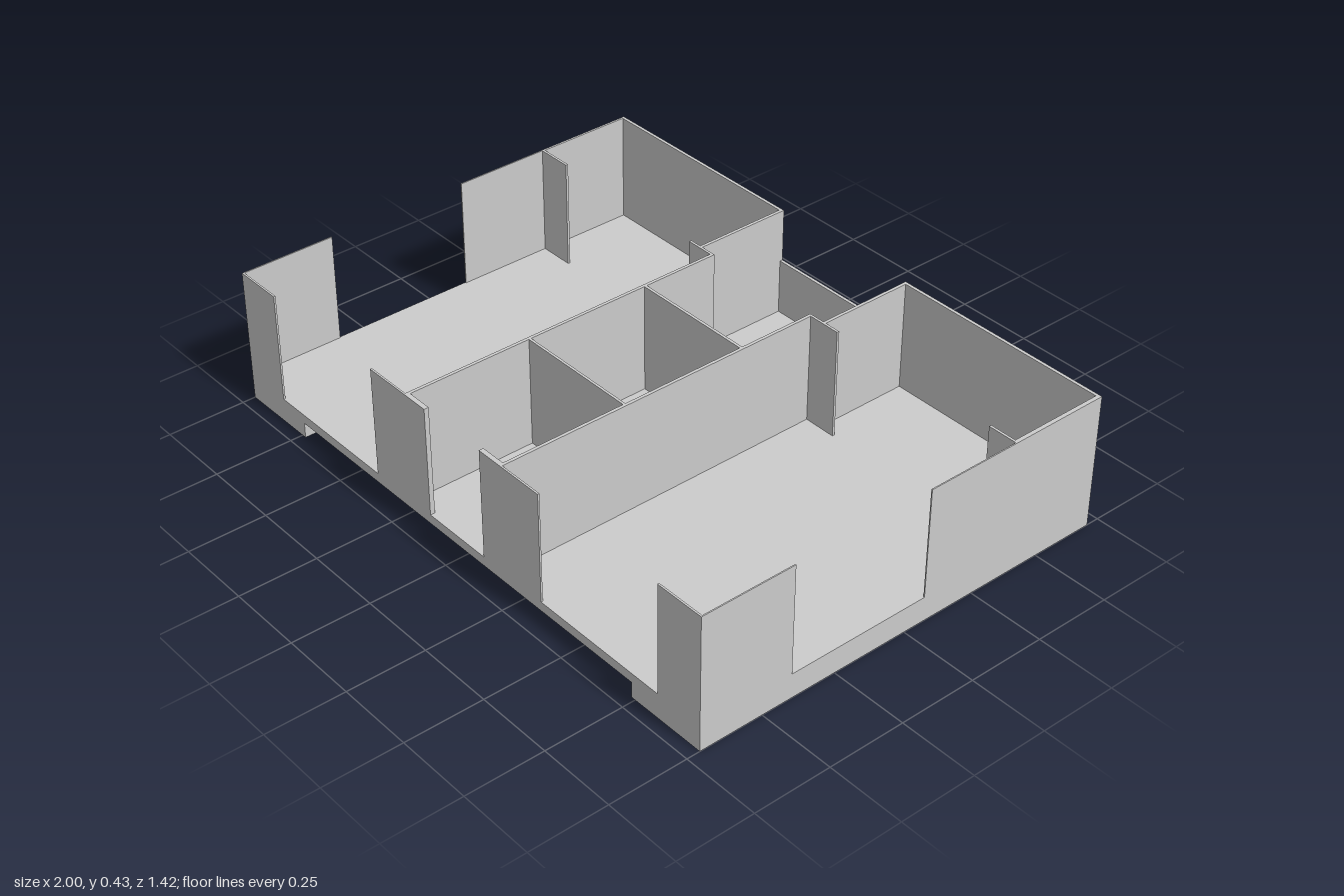
import * as THREE from 'three';

const FLOOR = 0.08, TOP = 0.433, W = 1, D = 0.708;

export function createModel() {
  const model = new THREE.Group();
  model.name = 'openTopBuilding';
  const material = new THREE.MeshStandardMaterial({ color: 0xcccccc, flatShading: true });

  // Box given by its extents on each axis
  function block(name, x0, x1, z0, z1, y0 = FLOOR, y1 = TOP) {
    const mesh = new THREE.Mesh(new THREE.BoxGeometry(x1 - x0, y1 - y0, z1 - z0), material);
    mesh.position.set((x0 + x1) / 2, (y0 + y1) / 2, (z0 + z1) / 2);
    mesh.name = name;
    model.add(mesh);
  }

  // Floor slab with a deeper footing along each side, extruded front to back
  const profile = new THREE.Shape([
    [-W, 0], [-0.735, 0], [-0.735, 0.05], [0.735, 0.05],
    [0.735, 0], [W, 0], [W, FLOOR], [-W, FLOOR],
  ].map(([x, y]) => new THREE.Vector2(x, y)));
  const slab = new THREE.ExtrudeGeometry(profile, { depth: 2 * D, bevelEnabled: false });
  slab.translate(0, 0, -D);
  const floor = new THREE.Mesh(slab, material);
  floor.name = 'floorSlab';
  model.add(floor);

  // Back wall, lowered in the middle
  block('backWallRight', -W, -0.256, -D, -D + 0.01);
  block('backWallMiddle', -0.256, 0.256, -D, -D + 0.01, FLOOR, 0.26);
  block('backWallLeft', 0.256, W, -D, -D + 0.01);

  for (const s of [-1, 1]) {
    const side = s < 0 ? 'Right' : 'Left';
    const mirrored = (name, a, b, z0, z1) =>
      block(name + side, Math.min(s * a, s * b), Math.max(s * a, s * b), z0, z1);

    // Outer side wall, split by a wide opening
    mirrored('sideWallRear', s < 0 ? 0.993 : 0.987, W, -D + 0.01, -0.38);
    mirrored('sideWallMiddle', 0.996, W, -0.38, -0.07);
    mirrored('sideWallFront', 0.996, W, 0.4, D);

    // Front wall piers between the window and door openings
    mirrored('frontCornerPier', 0.837, 0.996, D - 0.006, D);
    mirrored('frontPier', 0.12, 0.367, D - 0.006, D);
    mirrored('doorReturn', 0.12, 0.203, D - 0.015, D - 0.006);

    // Long walls of the central corridor
    mirrored('corridorWall', 0.203, 0.213, -0.38, D - 0.006);
    mirrored('rearRoomWall', 0.256, 0.266, -D + 0.01, -0.38);

    // Short returns at the rear doorways
    mirrored('innerReturn', 0.203, s < 0 ? 0.305 : 0.32, -0.388, -0.38);
    mirrored('outerReturn', s < 0 ? 0.88 : 0.9, 0.996, -0.388, -0.38);
  }

  // Cross walls and a raised shelf inside the corridor
  block('frontCrossWall', -0.203, 0.203, 0.283, 0.291);
  block('rearCrossWall', -0.203, 0.203, -0.133, -0.124);
  block('shelf', -0.203, 0.203, -0.182, -0.133, 0.237, 0.26);

  return model;
}
